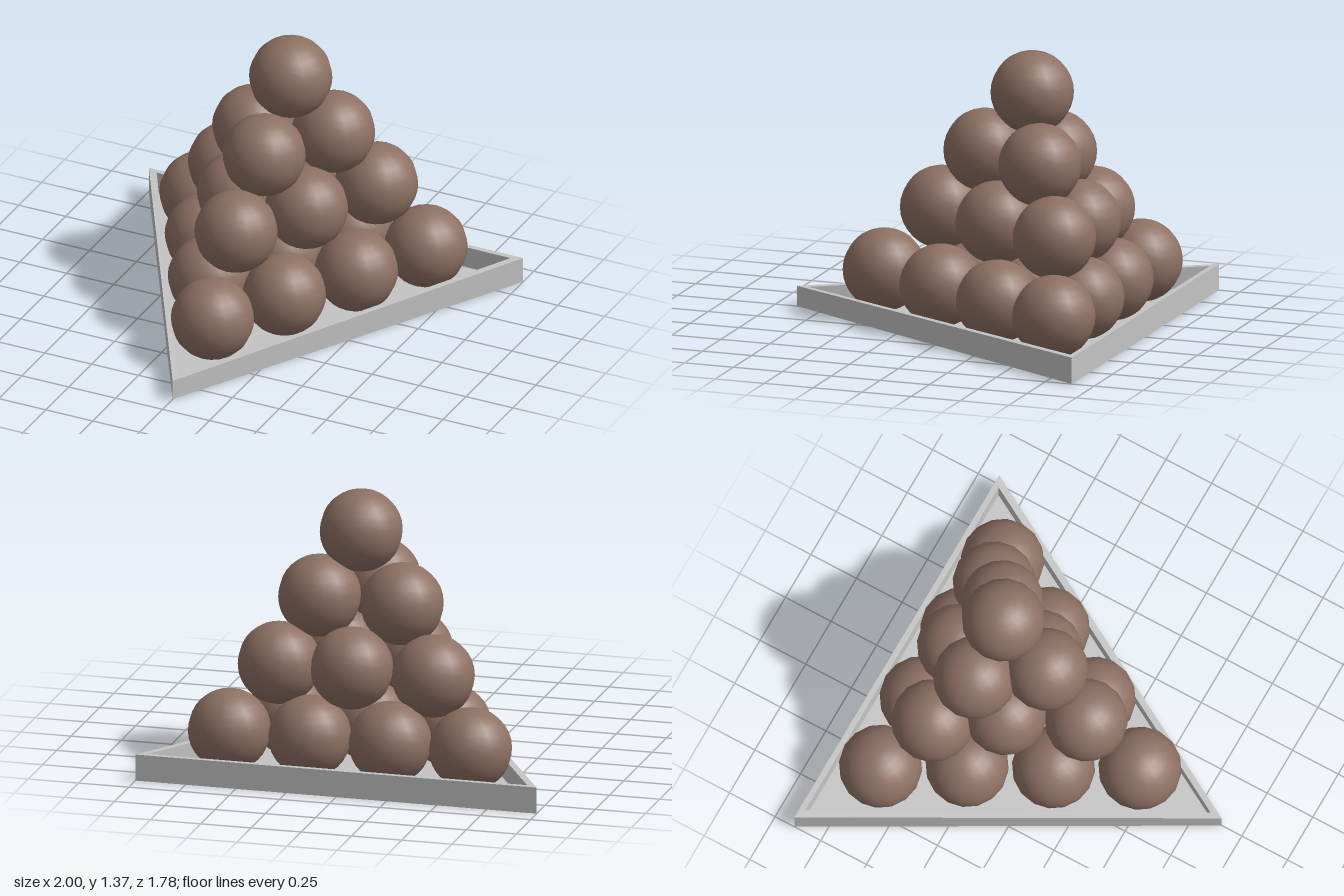
import * as THREE from 'three';

// Tray cross-sections: three corners each, counterclockwise seen from above
const outer = [[-1, -0.895], [0, 0.89], [1, -0.885]];
const inner = [[-0.945, -0.868], [0, 0.83], [0.945, -0.858]];
const rimHeights = [0.13, 0.1, 0.13];
const floorHeight = 0.022;

function ring(corners, heights) {
  return corners.map(([x, z], i) => [x, heights[i], z]);
}

function trayGeometry() {
  const flat = (y) => [y, y, y];
  const rings = [
    ring(outer, flat(0)),
    ring(outer, rimHeights),
    ring(inner, rimHeights),
    ring(inner, flat(floorHeight)),
  ];
  const points = [];
  // Outer wall, rim and inner wall
  for (let r = 0; r < rings.length - 1; r++) {
    for (let i = 0; i < 3; i++) {
      const j = (i + 1) % 3;
      const a = rings[r][i], b = rings[r][j], c = rings[r + 1][j], d = rings[r + 1][i];
      points.push(a, b, c, a, c, d);
    }
  }
  // Floor and underside
  points.push(...rings[3], ...[...rings[0]].reverse());
  const geometry = new THREE.BufferGeometry();
  geometry.setAttribute('position', new THREE.Float32BufferAttribute(points.flat(), 3));
  geometry.computeVertexNormals();
  return geometry;
}

// Ball centres, layer by layer, slightly settled
const layers = [
  [
    [-0.6, 0.22, -0.645], [-0.2, 0.22, -0.645], [0.2, 0.22, -0.645], [0.6, 0.22, -0.645],
    [-0.395, 0.22, -0.285], [0.005, 0.22, -0.285], [0.405, 0.22, -0.285],
    [-0.2, 0.22, 0.08], [0.2, 0.22, 0.08],
    [-0.005, 0.22, 0.445],
  ],
  [
    [-0.37, 0.52, -0.487], [0.015, 0.55, -0.56], [0.375, 0.55, -0.565],
    [-0.18, 0.55, -0.195], [0.18, 0.55, -0.2],
    [-0.02, 0.55, 0.158],
  ],
  [[-0.18, 0.83, -0.363], [0.212, 0.86, -0.43], [0.015, 0.86, -0.077]],
  [[0.035, 1.17, -0.325]],
];

export function createModel() {
  const model = new THREE.Group();
  const trayGrey = new THREE.MeshStandardMaterial({ color: 0xc4c4c4 });
  trayGrey.name = 'tray grey';
  const ballBrown = new THREE.MeshStandardMaterial({ color: 0x8d7063 });
  ballBrown.name = 'ball brown';

  const tray = new THREE.Mesh(trayGeometry(), trayGrey);
  tray.name = 'triangularTray';
  model.add(tray);

  // Pyramid of stacked balls
  const ballGeometry = new THREE.SphereGeometry(0.2, 16, 16);
  layers.forEach((centres, level) => {
    const layer = new THREE.Group();
    layer.name = `ballLayer${level + 1}`;
    centres.forEach((centre, i) => {
      const ball = new THREE.Mesh(ballGeometry, ballBrown);
      ball.name = `ball${level + 1}_${i + 1}`;
      ball.position.set(...centre);
      layer.add(ball);
    });
    model.add(layer);
  });
  return model;
}
